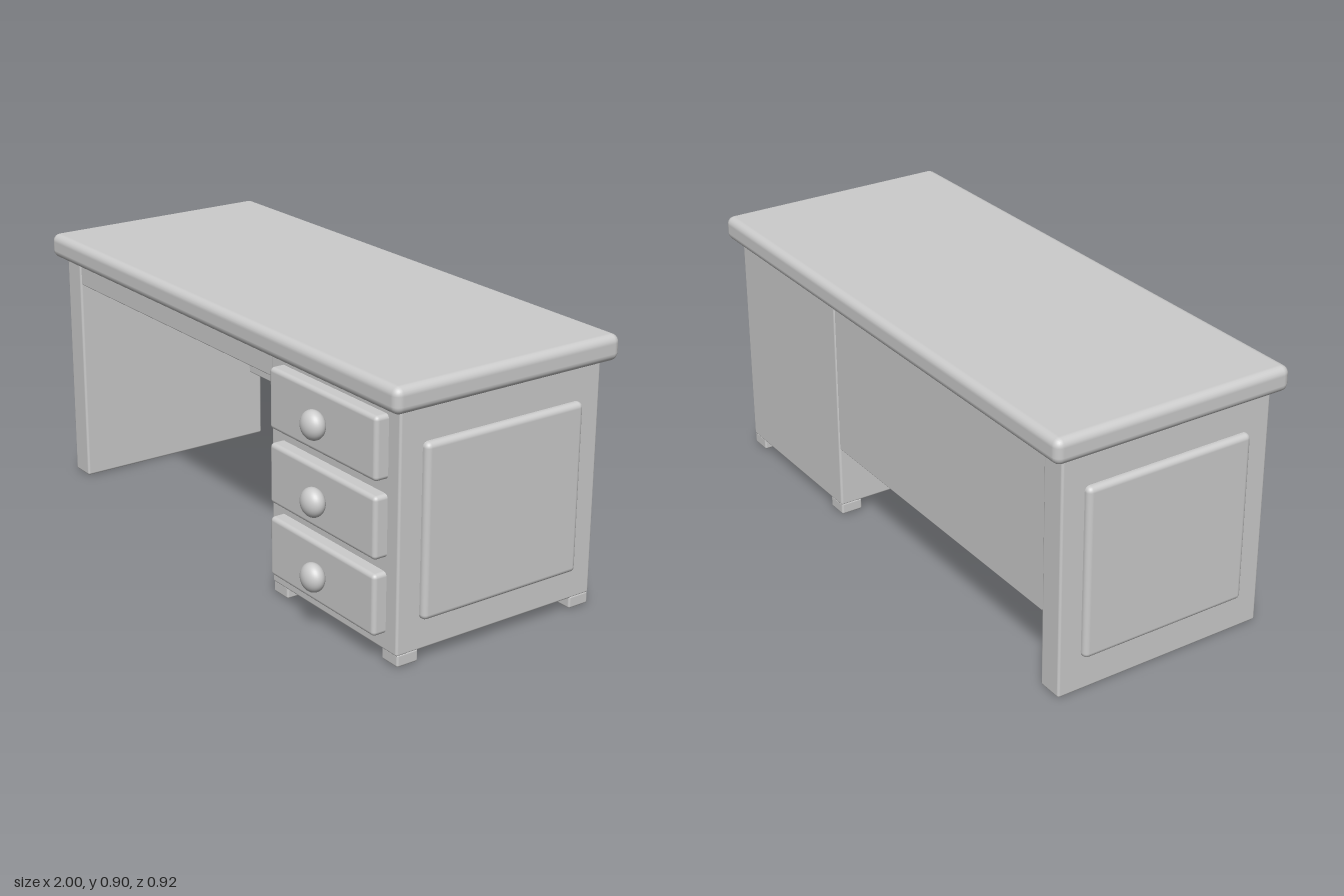
import * as THREE from 'three';
import { RoundedBoxGeometry } from 'three/addons/geometries/RoundedBoxGeometry.js';

export function createModel() {
  const desk = new THREE.Group();
  desk.name = 'desk';
  const grey = new THREE.MeshStandardMaterial({ color: 0xcccccc });
  grey.name = 'light grey';

  // Rounded block given by its extents along each axis
  function block(name, [x0, x1], [y0, y1], [z0, z1], radius, parent = desk) {
    const geometry = new RoundedBoxGeometry(x1 - x0, y1 - y0, z1 - z0, 3, radius);
    const mesh = new THREE.Mesh(geometry, grey);
    mesh.position.set((x0 + x1) / 2, (y0 + y1) / 2, (z0 + z1) / 2);
    mesh.name = name;
    parent.add(mesh);
    return mesh;
  }

  // Desktop, with softly rounded edges
  block('desktop', [-1, 1], [0.812, 0.897], [-0.457, 0.397], 0.027);

  // Slab leg on one side, drawer cabinet on the other
  const depth = [-0.412, 0.352];
  block('slabLeg', [-0.965, -0.875], [0, 0.815], depth, 0.008);
  block('cabinet', [0.32, 0.962], [0.039, 0.815], depth, 0.008);

  // Back panel and front apron spanning the knee space
  block('backPanel', [-0.885, 0.33], [0.258, 0.815], [-0.408, -0.36], 0.005);
  block('frontApron', [-0.885, 0.33], [0.727, 0.815], [0.3, 0.347], 0.005);

  // Raised panels on the outer sides, partly sunk into the body
  block('rightSidePanel', [-0.987, -0.947], [0.118, 0.702], [-0.332, 0.27], 0.018);
  block('leftSidePanel', [0.945, 0.985], [0.14, 0.702], [-0.332, 0.27], 0.018);

  // Cabinet feet
  for (const x of [0.32, 0.885]) {
    for (const z of [-0.41, 0.27]) {
      block('cabinetFoot', [x, x + 0.077], [0.003, 0.045], [z, z + 0.078], 0.007);
    }
  }

  // Drawers with flattened round knobs
  const knobGeometry = new THREE.SphereGeometry(0.047, 32, 20);
  for (const y of [0.195, 0.441, 0.687]) {
    const drawer = new THREE.Group();
    drawer.name = 'drawer';
    block('drawerFront', [0.373, 0.909], [y - 0.1, y + 0.1], [0.335, 0.398], 0.014, drawer);
    const knob = new THREE.Mesh(knobGeometry, grey);
    knob.name = 'drawerKnob';
    knob.position.set(0.64, y, 0.425);
    knob.scale.z = 0.74;
    drawer.add(knob);
    desk.add(drawer);
  }
  return desk;
}
